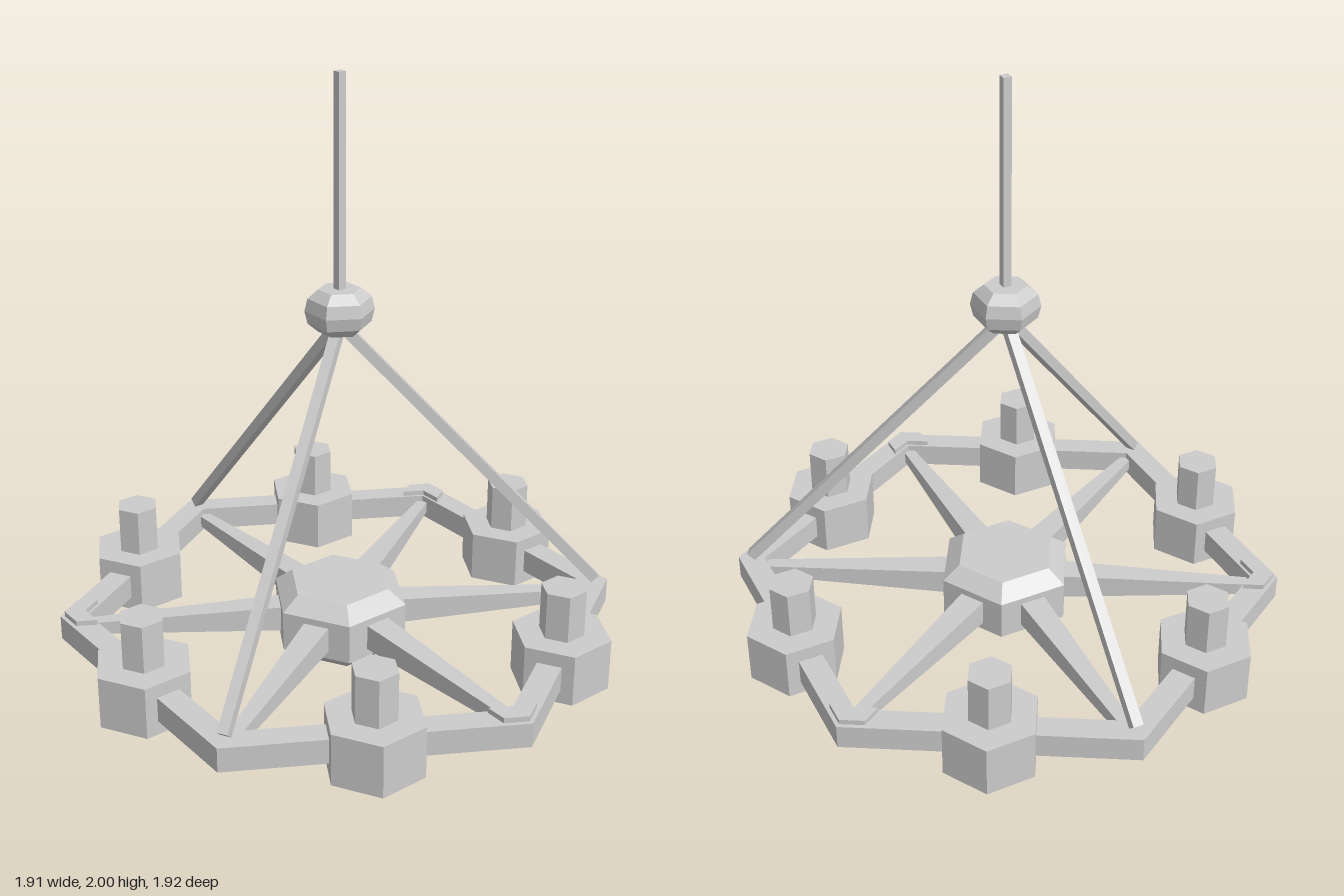
import * as THREE from 'three';

const material = new THREE.MeshStandardMaterial({ color: 0xcccccc, flatShading: true });

function add(parent, name, geometry, x = 0, y = 0, z = 0) {
  const mesh = new THREE.Mesh(geometry, material);
  mesh.name = name;
  mesh.position.set(x, y, z);
  parent.add(mesh);
  return mesh;
}

// Six-sided turned solid from [radius, height] points, listed bottom to top
function hexLathe(profile) {
  return new THREE.LatheGeometry(profile.map(([r, y]) => new THREE.Vector2(r, y)), 6);
}

// Bent plate that follows a corner of the ring
function cornerPlate(outer, inner, halfWidth, height) {
  const drop = halfWidth * Math.tan(Math.PI / 6);
  const shape = new THREE.Shape([
    [0, -outer], [halfWidth, -outer + drop], [halfWidth, -inner + drop],
    [0, -inner], [-halfWidth, -inner + drop], [-halfWidth, -outer + drop],
  ].map(([x, y]) => new THREE.Vector2(x, y)));
  return new THREE.ExtrudeGeometry(shape, { depth: height, bevelEnabled: false }).rotateX(-Math.PI / 2);
}

export function createModel() {
  const model = new THREE.Group();
  model.name = 'chandelier';

  // Hexagonal ring with corners at front and back
  add(model, 'ring', hexLathe([[0.865, 0.08], [0.96, 0.08], [0.96, 0.165], [0.865, 0.165], [0.865, 0.08]]));

  // Central hub, bevelled above and below
  const hub = add(model, 'hub', hexLathe([[0, 0], [0.18, 0], [0.243, 0.05], [0.243, 0.19], [0.18, 0.238], [0, 0.238]]));
  hub.rotation.y = Math.PI / 6;

  // Top knob and hanging pole
  add(model, 'knob', hexLathe([[0, 1.155], [0.07, 1.155], [0.105, 1.185], [0.115, 1.228], [0.105, 1.27], [0.07, 1.3], [0, 1.3]]));
  add(model, 'pole', new THREE.BoxGeometry(0.028, 0.72, 0.028), 0, 1.64, 0);

  // Tapered spoke, lying along +z
  const spokeGeometry = new THREE.CylinderGeometry(0.02 * Math.SQRT2, 0.049 * Math.SQRT2, 0.78, 4)
    .rotateY(Math.PI / 4).rotateX(Math.PI / 2);
  const holderGeometry = new THREE.CylinderGeometry(0.167, 0.167, 0.18, 6);
  const candleGeometry = new THREE.CylinderGeometry(0.076, 0.076, 0.17, 6);
  const plateGeometry = cornerPlate(0.945, 0.875, 0.07, 0.02);
  const rodRun = 0.91, rodRise = 1.0;
  const rodGeometry = new THREE.BoxGeometry(0.036, Math.hypot(rodRun, rodRise), 0.036);

  for (let i = 0; i < 6; i++) {
    // Spoke to each ring corner
    const corner = new THREE.Group();
    corner.name = 'corner' + i;
    corner.rotation.y = i * Math.PI / 3;
    model.add(corner);
    add(corner, 'spoke', spokeGeometry, 0, 0.122, 0.49);

    // Every second corner carries a plate and a suspension rod
    if (i % 2) {
      const plate = add(corner, 'rodPlate', plateGeometry, 0, 0.163, 0);
      plate.rotation.y = Math.PI;
      const rod = add(corner, 'suspensionRod', rodGeometry, 0, 0.18 + rodRise / 2, rodRun / 2);
      rod.rotation.x = -Math.atan2(rodRun, rodRise);
    }

    // Candle and holder at the middle of each ring side
    const side = new THREE.Group();
    side.name = 'candleHolder' + i;
    side.rotation.y = (i + 0.5) * Math.PI / 3;
    model.add(side);
    const holder = add(side, 'holder', holderGeometry, 0, 0.122, 0.79);
    const candle = add(side, 'candle', candleGeometry, 0, 0.292, 0.79);
    holder.rotation.y = candle.rotation.y = 0;
  }

  return model;
}
